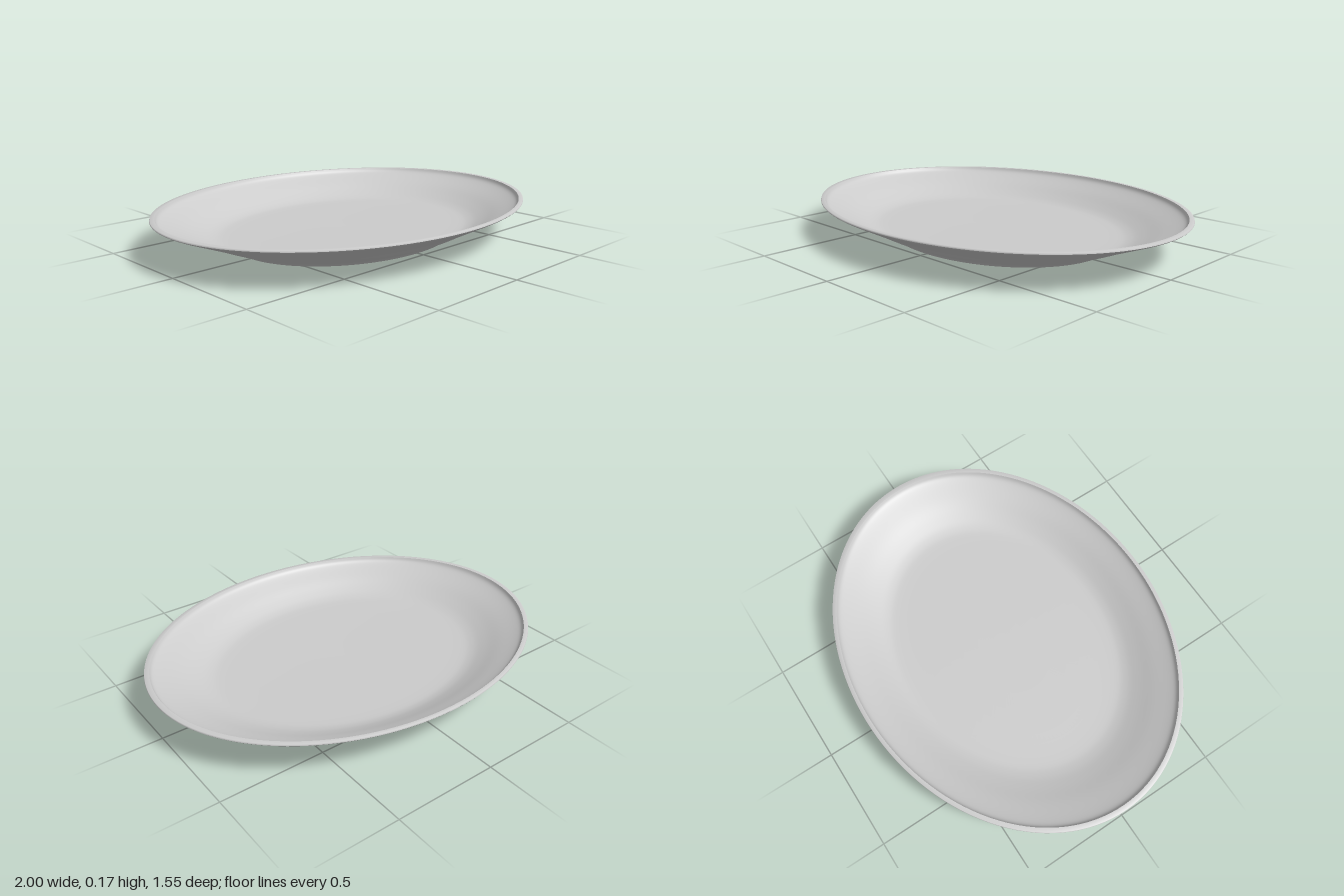
import * as THREE from 'three';

// Oval serving dish: smooth profile sections spun round y, then squashed in z.
export function createModel() {
  const group = new THREE.Group();
  group.name = 'ovalPlate';
  const material = new THREE.MeshStandardMaterial({ color: 0xcccccc, side: THREE.DoubleSide });
  const DEPTH = 0.775;

  function ring(name, points, curved = true) {
    const pts = points.map(([r, y]) => new THREE.Vector2(r, y));
    const profile = curved ? new THREE.SplineCurve(pts).getPoints(pts.length * 4) : pts;
    profile.forEach(p => { p.x = Math.max(0, Math.min(1, p.x)); });
    const geometry = new THREE.LatheGeometry(profile, 128);
    geometry.scale(1, 1, DEPTH);
    const mesh = new THREE.Mesh(geometry, material);
    mesh.name = name;
    group.add(mesh);
  }

  // Shallow recess under the plate
  ring('undersideRecess', [[0, 0.024], [0.25, 0.024], [0.44, 0.022], [0.51, 0.014], [0.54, 0]]);
  // Flat foot the plate stands on
  ring('footRing', [[0.54, 0], [0.6, 0]], false);
  // Flaring outer wall
  ring('outerWall', [[0.6, 0], [0.635, 0.02], [0.705, 0.045], [0.8, 0.085], [0.9, 0.125], [0.985, 0.159], [1, 0.168]]);
  // Narrow lip
  ring('rim', [[1, 0.168], [0.998, 0.175], [0.975, 0.175]], false);
  // Inner wall running down into the flat floor
  ring('innerBowl', [[0.975, 0.175], [0.962, 0.157], [0.93, 0.14], [0.85, 0.108],
    [0.77, 0.074], [0.7, 0.051], [0.62, 0.043], [0.4, 0.041], [0, 0.04]]);

  return group;
}
